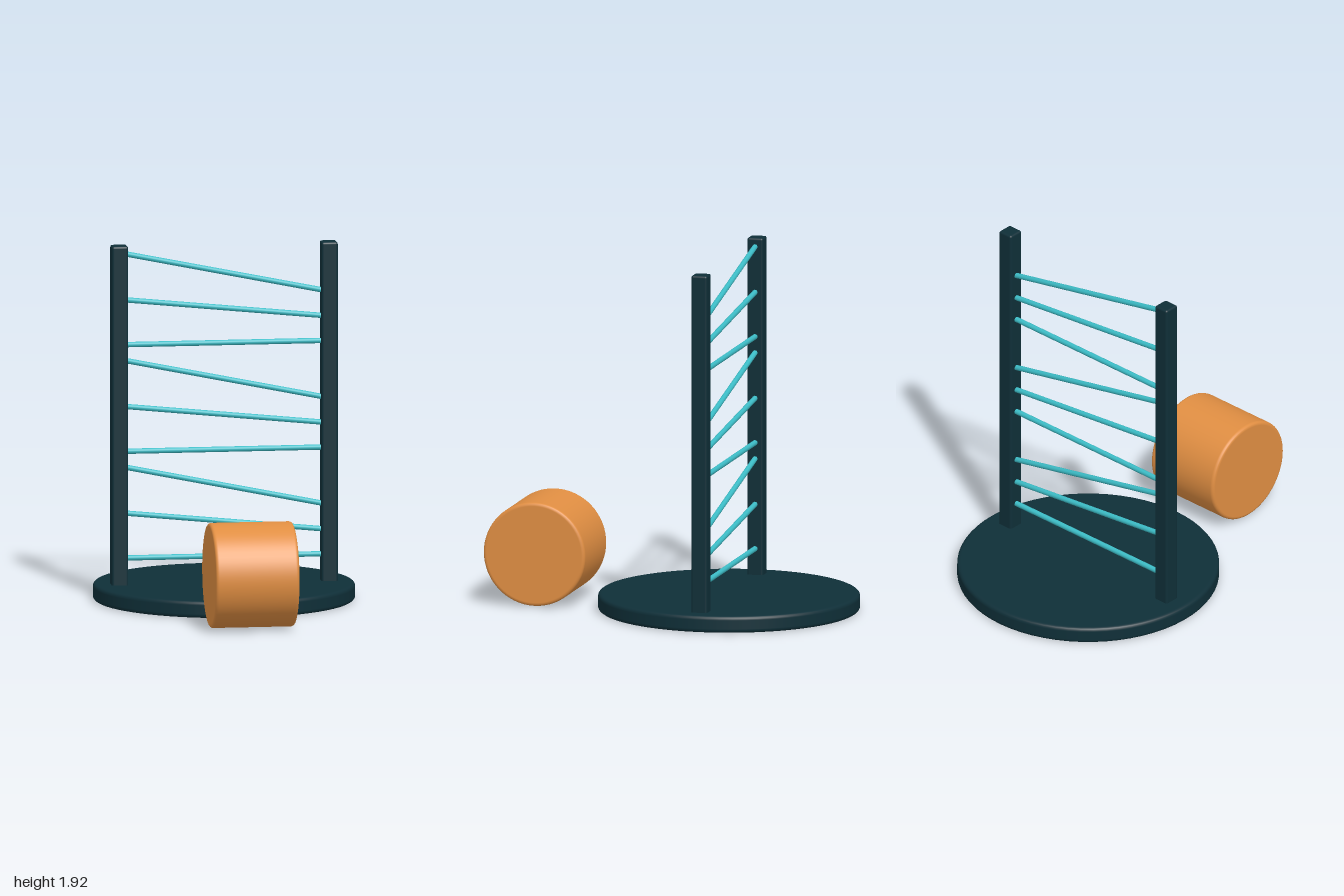
import * as THREE from 'three';
import { RoundedBoxGeometry } from 'three/addons/geometries/RoundedBoxGeometry.js';

const flat = (name, color) => {
  const m = new THREE.MeshStandardMaterial({ color });
  m.name = name;
  return m;
};

// Solid disc along y, centred on its middle, with rounded rims
function roundedDisc(radius, height, bevel) {
  const h = height / 2, r = radius - bevel, eps = 0.003;
  const pts = [new THREE.Vector2(0, -h), new THREE.Vector2(r - eps, -h)];
  for (const side of [-1, 1]) {
    for (let i = 0; i <= 4; i++) {
      const a = (side < 0 ? i - 4 : i) * Math.PI / 8;
      pts.push(new THREE.Vector2(r + bevel * Math.cos(a), side * (h - bevel) + bevel * Math.sin(a)));
    }
    if (side < 0) {
      // keep the wall straight between the two rims
      pts.push(new THREE.Vector2(radius, -h + bevel + eps), new THREE.Vector2(radius, h - bevel - eps));
    }
  }
  pts.push(new THREE.Vector2(r - eps, h), new THREE.Vector2(0, h));
  return new THREE.LatheGeometry(pts, 64);
}

export function createModel() {
  const dark = flat('dark teal', 0x0f2f38);
  const cyan = flat('cyan', 0x3cbcc6);
  const orange = flat('orange', 0xe08e42);

  const model = new THREE.Group();
  model.name = 'rungStand';
  const add = (name, geometry, material, x, y, z) => {
    const mesh = new THREE.Mesh(geometry, material);
    mesh.name = name;
    mesh.position.set(x, y, z);
    model.add(mesh);
    return mesh;
  };
  const frameZ = -0.3;

  // Round base
  add('base', roundedDisc(0.7, 0.09, 0.018), dark, 0, 0.045, frameZ);

  // Two square posts
  for (const side of [-1, 1]) {
    add(side < 0 ? 'rightPost' : 'leftPost',
      new RoundedBoxGeometry(0.088, 1.86, 0.088, 3, 0.012), dark, side * 0.565, 0.99, frameZ);
  }

  // Three repeats of a level, a gently sloped and a steep rung
  const rungs = [[0.232, 0.232], [0.474, 0.367], [0.722, 0.505]];
  const halfSpan = 0.53;
  for (let k = 0; k < 3; k++) {
    rungs.forEach(([y0, y1], i) => {
      const rise = y1 - y0;
      const length = Math.hypot(2 * halfSpan, rise);
      const rung = add(`rung${k * 3 + i + 1}`, new THREE.CylinderGeometry(0.0145, 0.0145, length, 16),
        cyan, 0, (y0 + y1) / 2 + k * 0.576, frameZ);
      rung.rotation.z = Math.atan2(rise, 2 * halfSpan) - Math.PI / 2;
    });
  }

  // Loose drum lying in front of the base
  add('drum', roundedDisc(0.281, 0.45, 0.016), orange, 0, 0.285, 0.719).rotation.z = Math.PI / 2;

  return model;
}
